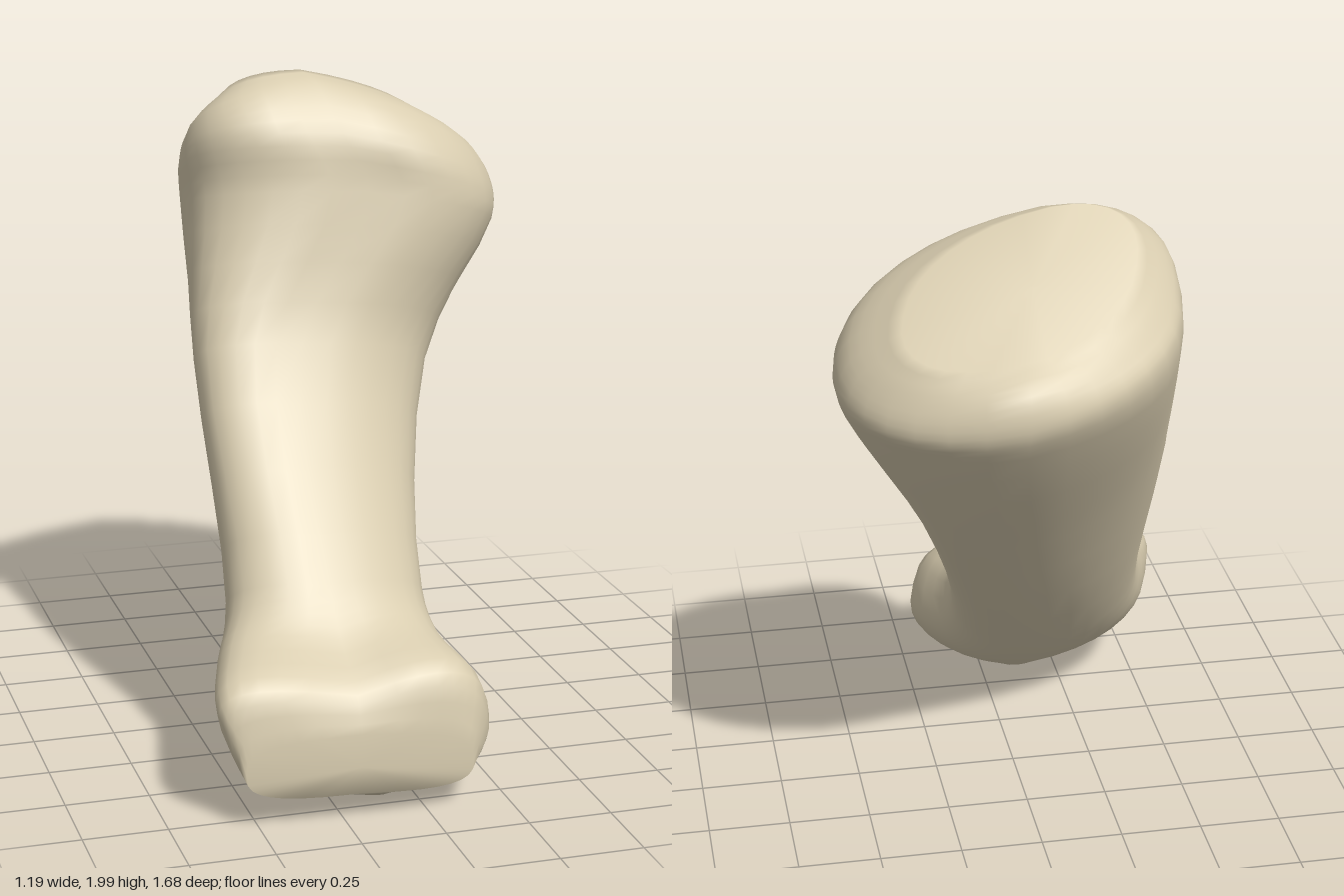
import * as THREE from 'three';

// Guide points along the bone, from the lower end to the upper end
const FRONT = [[-0.2, 0.27, 0.84], [-0.2, 0.37, 0.79], [-0.2, 0.48, 0.63], [-0.2, 0.61, 0.51],
  [-0.15, 1.22, 0.05], [0.1, 1.65, -0.08], [0.02, 1.83, -0.11], [-0.03, 1.97, -0.22], [-0.06, 2, -0.3]];
const BACK = [[-0.2, 0.09, 0.84], [-0.08, 0.01, 0.66], [-0.12, 0.1, 0.45], [-0.15, 0.35, 0.17],
  [0, 0.98, -0.4], [0.1, 1.45, -0.79], [0.1, 1.55, -0.84], [0.1, 1.65, -0.82], [0.1, 1.71, -0.73]];
const RIGHT = [[-0.54, 0.18, 0.83], [-0.59, 0.29, 0.74], [-0.54, 0.37, 0.5], [-0.47, 0.52, 0.33],
  [-0.45, 1.15, -0.12], [-0.42, 1.6, -0.35], [-0.42, 1.74, -0.39], [-0.39, 1.8, -0.41], [-0.27, 1.87, -0.46]];
const LEFT = [[0.14, 0.15, 0.83], [0.21, 0.29, 0.74], [0.16, 0.36, 0.48], [0.15, 0.48, 0.3],
  [0.32, 1.08, -0.2], [0.57, 1.48, -0.35], [0.585, 1.58, -0.37], [0.54, 1.68, -0.4], [0.4, 1.78, -0.5]];
const SIDES = 32, RINGS = 33;

const guide = (points) =>
  new THREE.CatmullRomCurve3(points.map((p) => new THREE.Vector3(...p)), false, 'centripetal');

// One closed ring through four guide points; roundness 1 is an ellipse, lower is boxier
function ring(front, back, right, left, roundness) {
  const centre = front.clone().add(back).multiplyScalar(0.5);
  return Array.from({ length: SIDES }, (_, j) => {
    const a = (j / SIDES) * Math.PI * 2, c = Math.cos(a), s = Math.sin(a);
    return centre.clone()
      .addScaledVector((c > 0 ? left : right).clone().sub(centre), Math.abs(c) ** roundness)
      .addScaledVector((s > 0 ? front : back).clone().sub(centre), Math.abs(s) ** roundness);
  });
}

function boneGeometry() {
  const guides = [FRONT, BACK, RIGHT, LEFT].map(guide);
  const points = [], index = [];
  // Boxy lower joint blending into a rounded shaft and head
  for (let i = 0; i < RINGS; i++) {
    const t = i / (RINGS - 1);
    const roundness = 0.65 + 0.25 * THREE.MathUtils.smoothstep(t, 0, 0.4);
    points.push(...ring(...guides.map((g) => g.getPoint(t)), roundness));
  }
  // Wall between neighbouring rings
  for (let i = 0; i < RINGS - 1; i++) {
    for (let j = 0; j < SIDES; j++) {
      const a = i * SIDES + j, b = i * SIDES + (j + 1) % SIDES;
      index.push(a, a + SIDES, b, b, a + SIDES, b + SIDES);
    }
  }
  // Joint faces closing both ends
  const last = (RINGS - 1) * SIDES, lower = points.length, upper = lower + 1;
  points.push(new THREE.Vector3(-0.2, 0.17, 0.84), new THREE.Vector3(0.04, 1.85, -0.52));
  for (let j = 0; j < SIDES; j++) {
    const n = (j + 1) % SIDES;
    index.push(lower, j, n, upper, last + n, last + j);
  }
  const geometry = new THREE.BufferGeometry().setFromPoints(points);
  geometry.setIndex(index);
  geometry.computeVertexNormals();
  return geometry;
}

export function createModel() {
  const group = new THREE.Group();
  group.name = 'footBone';
  const ivory = new THREE.MeshStandardMaterial({ color: 0xd9cdb0 });
  ivory.name = 'ivory';
  const bone = new THREE.Mesh(boneGeometry(), ivory);
  bone.name = 'bone';
  group.add(bone);
  return group;
}
